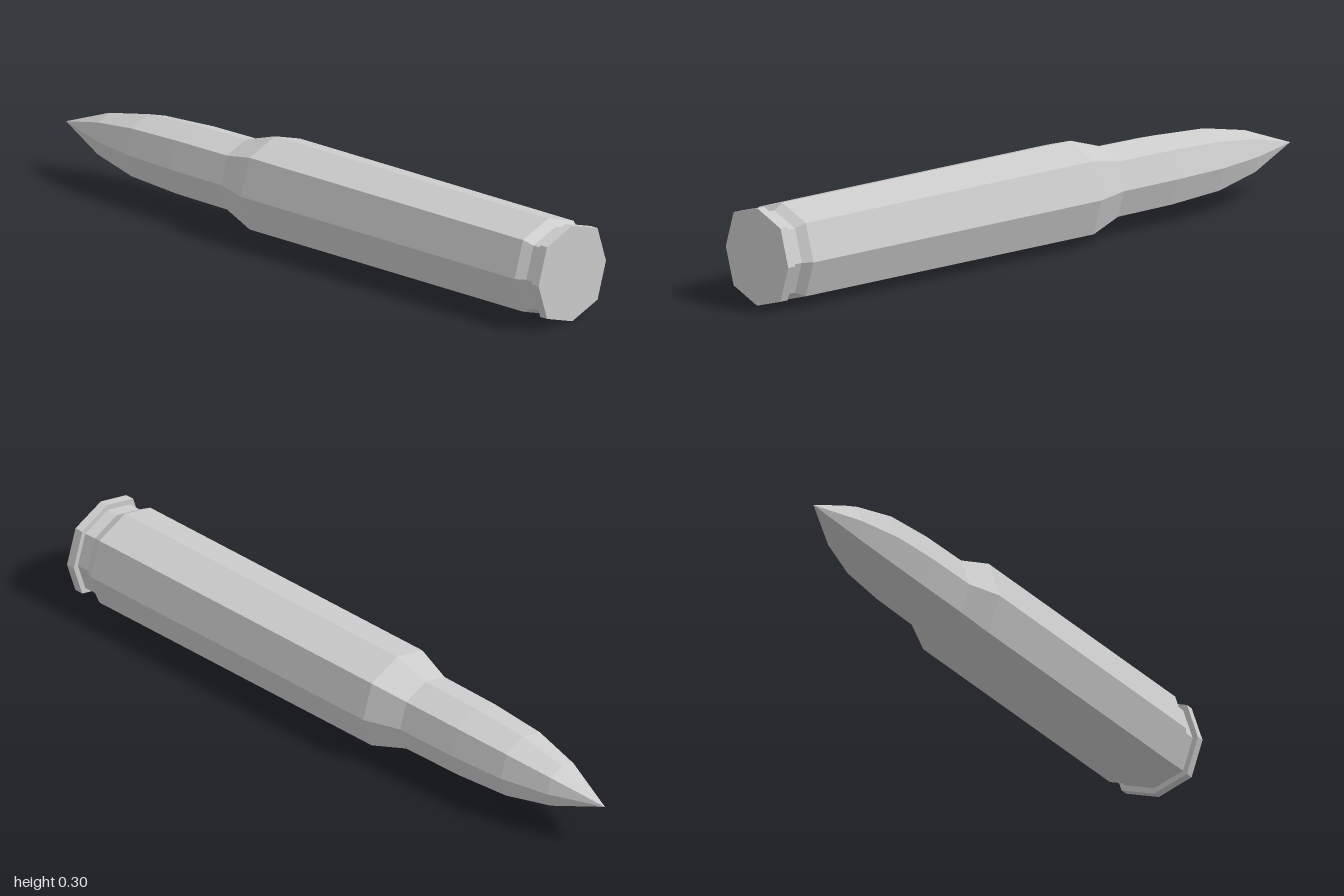
import * as THREE from 'three';

const SIDES = 8;
const AXIS_HEIGHT = 0.151;

// Eight-sided turned part lying along z; profile is a list of [radius, z] from +z to -z.
function turned(name, profile, material) {
  const points = profile.map(([r, z]) => new THREE.Vector2(r, -z));
  const indexed = new THREE.LatheGeometry(points, SIDES);
  const p = indexed.attributes.position;
  // Push the diagonal corners out to 0.75 of the radius on each axis.
  for (let i = 0; i < p.count; i++) {
    const x = p.getX(i), z = p.getZ(i);
    if (Math.min(Math.abs(x), Math.abs(z)) > 1e-5) {
      p.setX(i, x * 0.75 * Math.SQRT2);
      p.setZ(i, z * 0.75 * Math.SQRT2);
    }
  }
  const geometry = indexed.toNonIndexed();
  geometry.rotateX(-Math.PI / 2);
  geometry.computeVertexNormals();
  const mesh = new THREE.Mesh(geometry, material);
  mesh.name = name;
  mesh.position.y = AXIS_HEIGHT;
  return mesh;
}

export function createModel() {
  const group = new THREE.Group();
  group.name = 'cartridge';
  const material = new THREE.MeshStandardMaterial({ color: 0xcccccc, flatShading: true });

  // Case: flat base, rim, extractor groove, body, shoulder
  group.add(turned('case', [
    [0, 1], [0.15, 1], [0.15, 0.973],
    [0.132, 0.973], [0.132, 0.935],
    [0.15, 0.905], [0.15, -0.175],
    [0.113, -0.288],
  ], material));

  // Neck and tapering pointed tip
  group.add(turned('tip', [
    [0.113, -0.288], [0.111, -0.49], [0.1, -0.675], [0.067, -0.83], [0, -1],
  ], material));

  return group;
}
